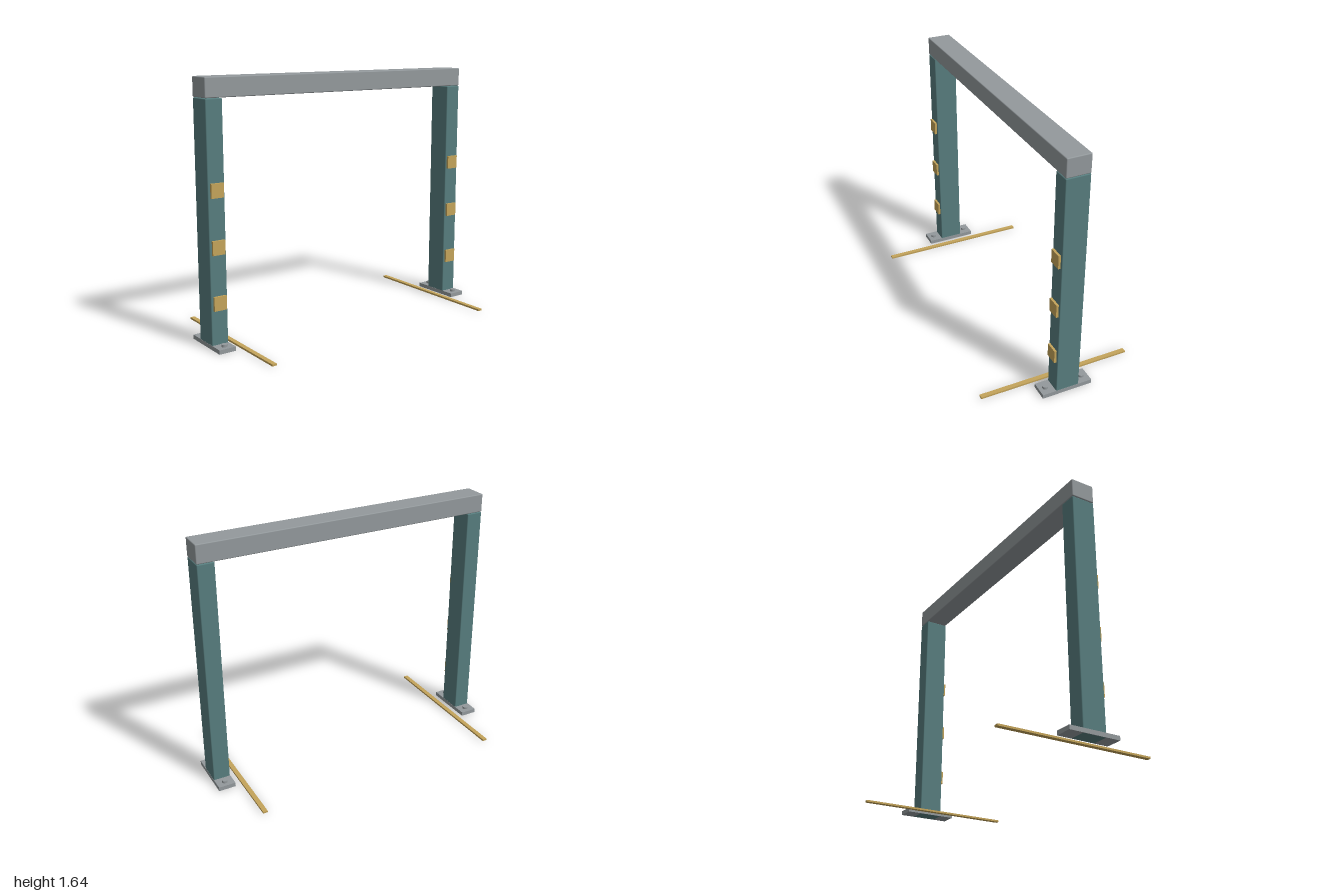
import * as THREE from 'three';
import { RoundedBoxGeometry } from 'three/addons/geometries/RoundedBoxGeometry.js';

export function createModel() {
  const model = new THREE.Group();
  model.name = 'gantryFrame';
  const material = (name, color) => {
    const m = new THREE.MeshStandardMaterial({ color });
    m.name = name;
    return m;
  };
  const steel = material('grey steel', 0x93999c);
  const paint = material('teal paint', 0x577d7e);
  const gold = material('ochre yellow', 0xc4a45a);

  const add = (parent, name, geometry, mat, x, y, z) => {
    const mesh = new THREE.Mesh(geometry, mat);
    mesh.name = name;
    mesh.position.set(x, y, z);
    parent.add(mesh);
  };

  // Top beam
  add(model, 'topBeam', new RoundedBoxGeometry(2, 0.121, 0.156, 2, 0.006), steel, 0, 1.575, 0);

  // Shared parts for both sides
  const column = new RoundedBoxGeometry(0.11, 1.512, 0.156, 2, 0.006);
  const plate = new THREE.BoxGeometry(0.112, 0.027, 0.338);
  const bolt = new THREE.CylinderGeometry(0.018, 0.018, 0.016, 20);
  const marker = new THREE.BoxGeometry(0.083, 0.088, 0.016);
  const rail = new THREE.BoxGeometry(0.03, 0.012, 1.026);

  for (const side of [1, -1]) {
    const post = new THREE.Group();
    post.name = side > 0 ? 'leftPost' : 'rightPost';
    const x = side * 0.944;

    add(post, 'column', column, paint, x, 0.756, 0);
    add(post, 'basePlate', plate, steel, x, 0.0145, 0);
    for (const z of [0.126, -0.126]) add(post, 'anchorBolt', bolt, steel, x, 0.035, z);

    // Square markers on the front face
    for (const y of [0.288, 0.631, 0.975]) add(post, 'frontMarker', marker, gold, side * 0.942, y, 0.085);

    // Floor strip running front to back just inside the post
    add(post, 'floorStrip', rail, gold, side * 0.832, 0.009, 0);
    model.add(post);
  }
  return model;
}
